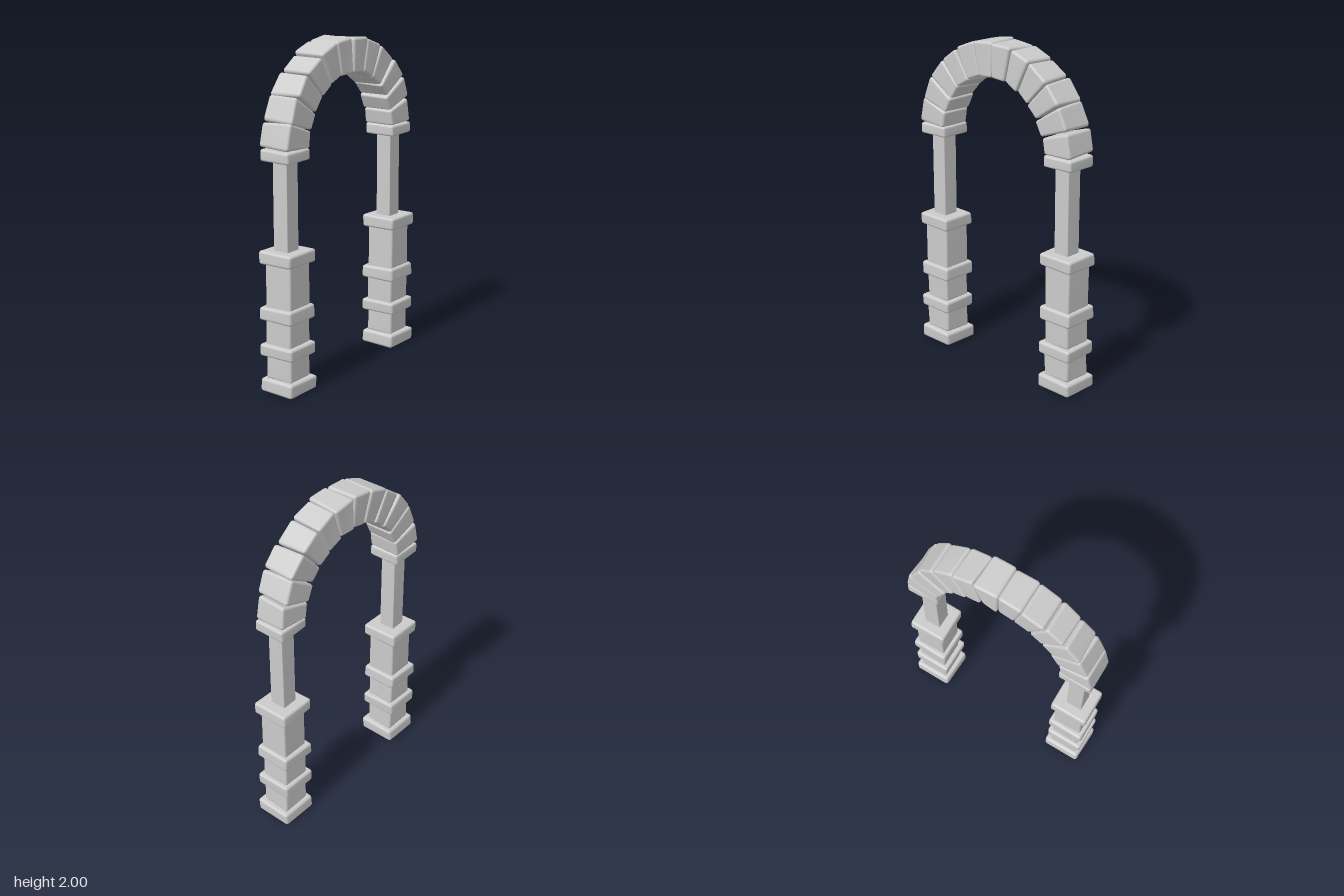
import * as THREE from 'three';
import { RoundedBoxGeometry } from 'three/addons/geometries/RoundedBoxGeometry.js';
import { mergeVertices } from 'three/addons/utils/BufferGeometryUtils.js';

const material = new THREE.MeshStandardMaterial({ color: 0xcccccc });

// Small seeded generator returning -1..1
function seeded(seed) {
  let s = seed * 7919 + 17;
  return () => {
    s = (s * 16807) % 2147483647;
    return (s / 2147483647) * 2 - 1;
  };
}

// Rounded block whose eight corners are nudged, so it looks hand-cut
function stoneGeometry(w, h, d, radius, wear, seed, mapPoint) {
  const source = new RoundedBoxGeometry(w, h, d, 3, radius);
  source.deleteAttribute('normal');
  source.deleteAttribute('uv');
  const geometry = mergeVertices(source, 1e-5);
  const random = seeded(seed);
  for (let i = 0; i < 5; i++) random();
  const corners = Array.from({ length: 8 }, () =>
    new THREE.Vector3(random(), random(), random()).multiplyScalar(wear));
  const pos = geometry.attributes.position;
  const p = new THREE.Vector3();
  for (let i = 0; i < pos.count; i++) {
    p.fromBufferAttribute(pos, i);
    const t = [p.x / w + 0.5, p.y / h + 0.5, p.z / d + 0.5];
    corners.forEach((offset, c) => {
      const weight = t.reduce((m, v, axis) => m * ((c >> axis) & 1 ? v : 1 - v), 1);
      p.addScaledVector(offset, weight);
    });
    if (mapPoint) mapPoint(p);
    pos.setXYZ(i, p.x, p.y, p.z);
  }
  geometry.computeVertexNormals();
  return geometry;
}

function addMesh(parent, name, geometry, x = 0, y = 0, z = 0) {
  const mesh = new THREE.Mesh(geometry, material);
  mesh.name = name;
  mesh.position.set(x, y, z);
  parent.add(mesh);
}

// Stacked pedestal, slim post and cap: name, bottom, top, width, depth, x shift, radius, wear
const pillarParts = [
  ['baseSlab', 0, 0.083, 0.236, 0.236, 0.005, 0.018, 0.005],
  ['lowerBlock', 0.075, 0.225, 0.182, 0.18, 0.002, 0.014, 0.005],
  ['lowerSlab', 0.217, 0.295, 0.23, 0.228, 0, 0.016, 0.005],
  ['middleBlock', 0.287, 0.443, 0.18, 0.178, 0.002, 0.012, 0.004],
  ['middleSlab', 0.435, 0.516, 0.23, 0.226, 0, 0.016, 0.005],
  ['upperBlock', 0.508, 0.777, 0.182, 0.18, 0.002, 0.012, 0.003],
  ['upperSlab', 0.768, 0.846, 0.234, 0.228, 0, 0.016, 0.004],
  ['post', 0.835, 1.37, 0.1, 0.1, -0.005, 0.004, 0.001],
  ['capSlab', 1.36, 1.428, 0.2, 0.2, -0.005, 0.014, 0.004],
];

function buildPillar(name, x) {
  const pillar = new THREE.Group();
  pillar.name = name;
  pillar.position.x = x;
  pillarParts.forEach(([part, y0, y1, w, d, dx, radius, wear], i) => {
    const mid = (y0 + y1) / 2;
    // Keep the underside of the base on the ground
    const onGround = (p) => { p.y = Math.max(p.y, -mid); };
    addMesh(pillar, part, stoneGeometry(w, y1 - y0, d, radius, wear, i + 3, onGround), dx, mid);
  });
  return pillar;
}

// Twelve wedge stones: each block is bent around the arch centre
function buildArch() {
  const arch = new THREE.Group();
  arch.name = 'arch';
  arch.position.set(-0.01, 1.4, 0);
  const inner = 0.4, outer = 0.602, start = 3.6, count = 12;
  const step = (180 - 2 * start) / count;
  const middle = (inner + outer) / 2;
  const length = middle * THREE.MathUtils.degToRad(step) - 0.003;
  for (let i = 0; i < count; i++) {
    const angle = THREE.MathUtils.degToRad(start + step * (i + 0.5));
    const bend = (p) => {
      const a = angle - p.x / middle;
      const r = middle + p.y;
      p.set(Math.cos(a) * r, Math.sin(a) * r, p.z);
    };
    addMesh(arch, `archStone${i + 1}`,
      stoneGeometry(length, outer - inner, 0.2, 0.016, 0.007, i + 31, bend));
  }
  return arch;
}

export function createModel() {
  const model = new THREE.Group();
  model.name = 'stoneArchway';
  model.add(buildPillar('leftPillar', 0.497), buildPillar('rightPillar', -0.503), buildArch());
  return model;
}
